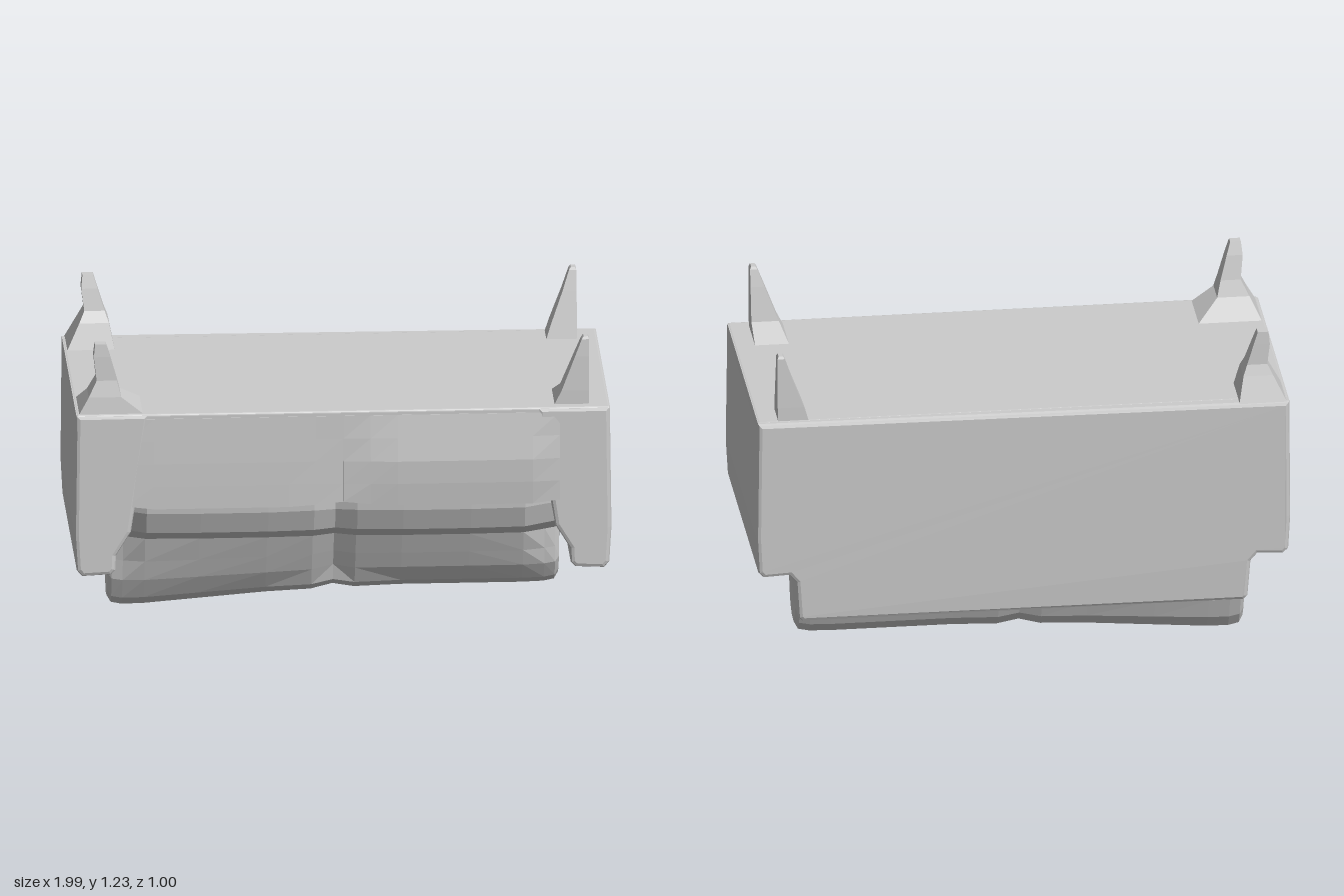
import * as THREE from 'three';
import { RoundedBoxGeometry } from 'three/addons/geometries/RoundedBoxGeometry.js';
import { toCreasedNormals } from 'three/addons/utils/BufferGeometryUtils.js';

const material = new THREE.MeshStandardMaterial({ color: 0xcccccc, flatShading: true });
const { clamp, smoothstep } = THREE.MathUtils;

function add(group, name, geometry) {
  const mesh = new THREE.Mesh(geometry, material);
  mesh.name = name;
  group.add(mesh);
}

// Move every vertex by a rule
function warp(geometry, rule) {
  const p = geometry.attributes.position;
  const v = new THREE.Vector3();
  for (let i = 0; i < p.count; i++) {
    rule(v.fromBufferAttribute(p, i));
    p.setXYZ(i, v.x, v.y, v.z);
  }
  geometry.computeVertexNormals();
  return geometry;
}

// Skin a list of equal-length rings and cap both ends
function loft(rings) {
  const n = rings[0].length;
  const pos = rings.flat(2);
  const index = [];
  for (let r = 0; r < rings.length - 1; r++) {
    for (let i = 0; i < n; i++) {
      const a = r * n + i, b = r * n + (i + 1) % n;
      index.push(a, b, b + n, a, b + n, a + n);
    }
  }
  const last = (rings.length - 1) * n;
  for (let i = 1; i < n - 1; i++) {
    index.push(0, i + 1, i, last, last + i, last + i + 1);
  }
  // Turn the faces outward whichever way the rings run
  const at = (i) => new THREE.Vector3(...pos.slice(i * 3, i * 3 + 3));
  let volume = 0;
  for (let i = 0; i < index.length; i += 3) {
    volume += at(index[i]).dot(at(index[i + 1]).cross(at(index[i + 2])));
  }
  if (volume < 0) index.reverse();
  const g = new THREE.BufferGeometry();
  g.setAttribute('position', new THREE.Float32BufferAttribute(pos, 3));
  g.setIndex(index);
  return toCreasedNormals(g, 0.4);
}

// Front outline run from z0 to z1 with rounded edges
function extrude(outline, z0, z1, bevel) {
  const shape = new THREE.Shape(outline.map(([x, y]) => new THREE.Vector2(x, y)));
  const g = new THREE.ExtrudeGeometry(shape, {
    depth: z1 - z0 - 2 * bevel, bevelThickness: bevel, bevelSize: bevel, bevelOffset: -bevel, bevelSegments: 2,
  });
  return g.translate(0, 0, z0 + bevel);
}

// Arm, flaring inward where it meets the seat
function arm(side) {
  const outline = [[0.72, 0.967], [0.987, 0.967], [0.993, 0.5], [0.985, 0.365], [0.965, 0.342],
    [0.86, 0.347], [0.842, 0.365], [0.84, 0.42], [0.785, 0.51], [0.77, 0.61]];
  return extrude(outline.map(([x, y]) => [side * x, y]), -0.42, 0.482, 0.015);
}

// Full-width rear wall that narrows below the arms
function backrest() {
  const half = [[0.987, 0.967], [0.992, 0.5], [0.985, 0.365], [0.965, 0.345], [0.87, 0.35],
    [0.845, 0.32], [0.835, 0.175], [0.82, 0.16]];
  const outline = [...half, ...half.map(([x, y]) => [-x, y]).reverse()];
  return warp(extrude(outline, -0.46, -0.27, 0.015), (v) => {
    // The rear face leans out towards the seat and towards -x
    const rise = Math.sqrt(clamp((v.y - 0.16) / 0.8, 0, 1));
    if (v.z < -0.4) v.z -= (0.014 + 0.012 * (1 - v.x)) * rise;
  });
}

// Puffy back cushion: a side profile swept in x, rounded off at its ends
function backCushion(side) {
  const profile = [[0.01, 0.58], [0.03, 0.52], [0.02, 0.43], [-0.015, 0.345], [-0.085, 0.3],
    [-0.12, 0.22], [-0.15, 0.155], [-0.195, 0.09], [-0.24, 0.06], [-0.31, 0.055],
    [-0.345, 0.095], [-0.375, 0.16], [-0.4, 0.32], [-0.4, 0.58]];
  const stations = [[0, 0.97], [0.08, 1.02], [0.25, 1], [0.5, 1], [0.7, 1], [0.78, 0.99], [0.82, 0.96], [0.835, 0.86]];
  return loft(stations.map(([x, s]) => profile.map(([z, y]) => {
    // The right-hand cushion sags towards its outer end
    const droop = side < 0 ? 0.062 * Math.min(1, x / 0.75) * Math.max(0, (0.3 - y) / 0.245) : 0;
    const round = z > -0.18 ? 0.07 * smoothstep(x, 0.66, 0.84) * smoothstep(y, 0.1, 0.36) : 0;
    const pinch = z > -0.18 ? 0.03 * (1 - smoothstep(x, 0, 0.15)) : 0;
    return [side * x, 0.33 + (y - 0.33) * s - droop, -0.25 + (z + 0.25) * s - round - pinch];
  })));
}

// Seat cushion, its face dipping towards the backrest
function seatCushion(side) {
  const g = new THREE.BoxGeometry(0.8, 0.35, 0.78, 8, 4, 6);
  g.translate(side * 0.401, 0.775, 0.09);
  return warp(g, (v) => {
    const t = Math.abs(v.x) / 0.8;
    const pillow = Math.min(1, 0.15 + 4 * t) * Math.min(1, 0.4 + 5 * (1 - t));
    const level = Math.max(0, 1 - Math.abs(v.y - 0.75) / 0.2);
    const front = v.z > 0.45;
    if (v.y < 0.62) v.y -= 0.085 * clamp((0.48 - v.z) / 0.5, 0, 1) - 0.02 * (1 - pillow);
    if (front) v.z += (side > 0 ? 0.024 : 0.003) * pillow * level;
  });
}

// Tapered leg with a flared foot, as square rings [x0, x1, z0, z1, y]
function leg(levels) {
  return loft(levels.map(([x0, x1, z0, z1, y]) =>
    [[x0, y, z0], [x1, y, z0], [x1, y, z1], [x0, y, z1]]));
}

export function createModel() {
  const group = new THREE.Group();

  const base = new RoundedBoxGeometry(1.975, 0.2, 0.93, 2, 0.008);
  add(group, 'seatBase', base.translate(0, 0.868, 0.013));
  add(group, 'backrest', backrest());

  for (const side of [-1, 1]) {
    const label = side > 0 ? 'left' : 'right';
    add(group, label + 'Arm', arm(side));
    add(group, label + 'BackCushion', backCushion(side));
    add(group, label + 'SeatCushion', seatCushion(side));
  }

  add(group, 'frontLeftLeg', leg([
    [0.78, 0.91, 0.24, 0.44, 0.96], [0.81, 0.912, 0.35, 0.44, 1.02],
    [0.86, 0.912, 0.375, 0.435, 1.15], [0.885, 0.912, 0.39, 0.43, 1.215], [0.892, 0.908, 0.395, 0.425, 1.225]]));
  add(group, 'backLeftLeg', leg([
    [0.795, 0.91, -0.445, -0.335, 0.96], [0.815, 0.912, -0.445, -0.35, 1.02],
    [0.86, 0.912, -0.442, -0.38, 1.14], [0.885, 0.912, -0.44, -0.4, 1.215], [0.892, 0.908, -0.435, -0.405, 1.225]]));
  add(group, 'frontRightLeg', leg([
    [-0.98, -0.73, 0.24, 0.465, 0.96], [-0.94, -0.82, 0.34, 0.455, 1.03],
    [-0.91, -0.835, 0.36, 0.44, 1.09], [-0.92, -0.86, 0.38, 0.435, 1.18], [-0.915, -0.875, 0.395, 0.43, 1.228]]));
  add(group, 'backRightLeg', leg([
    [-0.98, -0.8, -0.49, -0.3, 0.96], [-0.93, -0.82, -0.455, -0.34, 1.06],
    [-0.91, -0.835, -0.442, -0.365, 1.1], [-0.92, -0.86, -0.44, -0.385, 1.18], [-0.915, -0.875, -0.438, -0.4, 1.228]]));

  return group;
}
